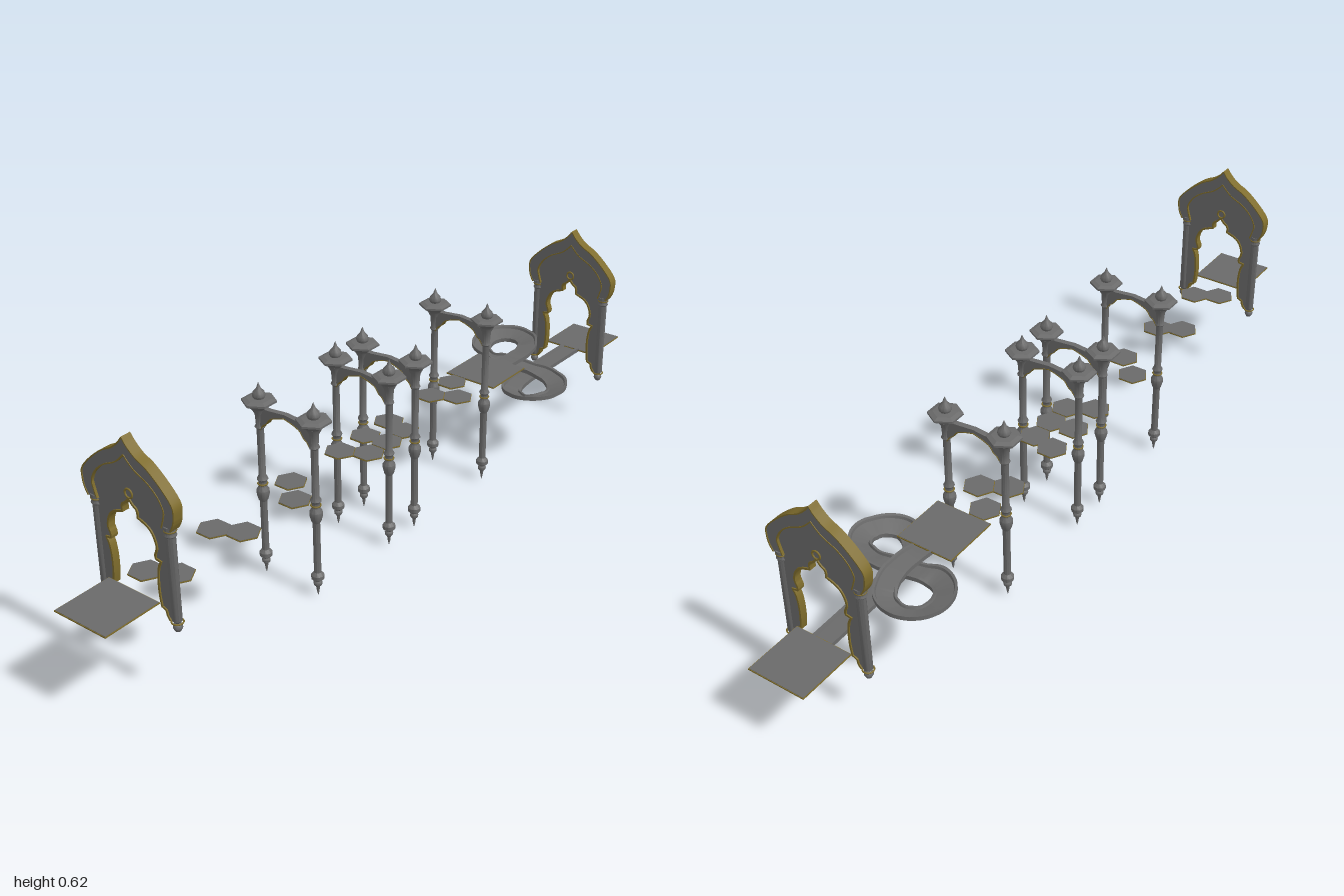
import * as THREE from 'three';
import { toCreasedNormals } from 'three/addons/utils/BufferGeometryUtils.js';

const grey = new THREE.MeshStandardMaterial({ color: 0x6a6a6a, side: THREE.DoubleSide });
const greyFlat = new THREE.MeshStandardMaterial({ color: 0x6a6a6a, flatShading: true, side: THREE.DoubleSide });
const gold = new THREE.MeshStandardMaterial({ color: 0x7e6c2c, side: THREE.DoubleSide });

const V = (a) => a.map(([x, y]) => new THREE.Vector2(x, y));
const spline = (a, n = 16) => new THREE.SplineCurve(V(a)).getPoints(n);
const flip = (pts) => pts.map((p) => new THREE.Vector2(-p.x, p.y)).reverse();

function add(parent, name, geometry, material, x = 0, y = 0, z = 0) {
  const mesh = new THREE.Mesh(geometry, material);
  mesh.name = name;
  mesh.position.set(x, y, z);
  parent.add(mesh);
  return mesh;
}

// Outline drawn in (z, y), given a thickness along x
function slab(points, depth) {
  const g = new THREE.ExtrudeGeometry(new THREE.Shape(points), { depth, bevelEnabled: false });
  g.translate(0, 0, -depth / 2).rotateY(-Math.PI / 2);
  return toCreasedNormals(g, 0.6);
}

// Flat moulding that follows an open line
function moulding(line, width, depth) {
  const side = (s) => line.map((p, i) => {
    const a = line[Math.max(i - 1, 0)], b = line[Math.min(i + 1, line.length - 1)];
    const t = b.clone().sub(a).normalize();
    return new THREE.Vector2(p.x - t.y * s, p.y + t.x * s);
  });
  return slab([...side(width / 2), ...side(-width / 2).reverse()], depth);
}

const lathe = (profile, sides = 14) => toCreasedNormals(new THREE.LatheGeometry(V(profile), sides), 0.7);

// Gold ring lying flat around a column or post
function collar(parent, name, radius, y, z) {
  add(parent, name, new THREE.TorusGeometry(radius, 0.002, 6, 20), gold, 0, y, z).rotation.x = Math.PI / 2;
}

// Pointed gateway with a lobed doorway
function gate(x, y, z) {
  const g = new THREE.Group();
  g.name = 'gate';
  g.position.set(x, y, z);
  const outer = spline([[0, 0.56], [0.012, 0.544], [0.034, 0.525], [0.066, 0.508], [0.105, 0.475],
    [0.13, 0.445], [0.132, 0.42], [0.128, 0.4], [0.119, 0.383]], 28);
  const inner = spline([[0, 0.52], [0.012, 0.507], [0.03, 0.492], [0.064, 0.475], [0.09, 0.452],
    [0.104, 0.425], [0.101, 0.405], [0.094, 0.383]], 28);
  const foot = spline([[0.107, 0.15], [0.095, 0.153], [0.087, 0.165], [0.085, 0.175], [0.073, 0.18]], 8);
  const door = [
    ...spline([[0.073, 0.18], [0.069, 0.21], [0.069, 0.25], [0.074, 0.28], [0.082, 0.293]], 10),
    ...spline([[0.066, 0.296], [0.066, 0.307], [0.072, 0.325], [0.065, 0.35], [0.05, 0.367], [0.022, 0.378]], 14),
    ...spline([[0.023, 0.388], [0.02, 0.397], [0.01, 0.404], [0, 0.416]], 8),
  ];
  const half = [...outer, ...V([[0.107, 0.383]]), ...foot, ...door];
  const whole = (pts) => [...flip(pts).slice(0, -1), ...pts];
  add(g, 'gatePanel', slab([...half, ...flip(half).slice(1, -1)], 0.012), grey);
  add(g, 'archBand', slab([...whole(outer), ...whole(inner).reverse()], 0.022), grey);
  add(g, 'outerTrim', moulding(whole(outer), 0.003, 0.026), gold);
  add(g, 'innerTrim', moulding(whole(inner), 0.003, 0.025), gold);
  const opening = [...foot.slice(2, -1), ...door];
  add(g, 'doorTrim', moulding([...opening.slice(0, -1), ...flip(opening)], 0.005, 0.018), gold);

  // Ring above the doorway, proud of the panel on both faces
  for (const s of [-1, 1]) {
    add(g, 'doorRing', new THREE.TorusGeometry(0.0105, 0.0025, 8, 24), gold, s * 0.0065, 0.427, 0).rotation.y = Math.PI / 2;
  }

  // Side columns with bulb feet and capitals
  const column = lathe([[0, 0.127], [0.007, 0.13], [0.011, 0.138], [0.01, 0.145], [0.006, 0.15], [0.011, 0.156],
    [0.011, 0.362], [0.014, 0.366], [0.012, 0.371], [0.014, 0.381], [0.014, 0.388], [0, 0.388]]);
  for (const s of [-1, 1]) {
    add(g, 'gateColumn', column, grey, 0, 0, s * 0.107);
    collar(g, 'columnCollar', 0.013, 0.152, s * 0.107);
    collar(g, 'columnCollar', 0.0125, 0.377, s * 0.107);
  }
  return g;
}

// Thin square landing with a gold edge
function platform(x, y, z) {
  const g = new THREE.Group();
  g.name = 'platform';
  g.position.set(x, y, z);
  add(g, 'platformSlab', new THREE.BoxGeometry(0.15, 0.005, 0.15), grey);
  add(g, 'platformEdge', new THREE.BoxGeometry(0.153, 0.003, 0.153), gold);
  return g;
}

// Six-sided stepping tile
function tile(x, z) {
  const g = new THREE.Group();
  g.name = 'steppingTile';
  g.position.set(x, 0.253, z);
  add(g, 'tileSlab', new THREE.CylinderGeometry(0.04, 0.04, 0.005, 6), greyFlat);
  add(g, 'tileEdge', new THREE.CylinderGeometry(0.041, 0.041, 0.003, 6), gold);
  return g;
}

// Two turned posts joined by an arch
const postProfile = [[0, 0], [0.003, 0.012], [0.005, 0.027], [0.01, 0.032], [0.011, 0.038], [0.008, 0.043],
  [0.016, 0.05], [0.016, 0.06], [0.009, 0.068], [0.009, 0.205], [0.012, 0.21], [0.016, 0.225], [0.016, 0.235],
  [0.01, 0.245], [0.01, 0.258], [0.014, 0.265], [0.009, 0.275], [0.009, 0.4], [0.013, 0.405], [0.01, 0.412],
  [0.012, 0.44], [0.02, 0.455]];
const capProfile = [[0, 0.45], [0.018, 0.453], [0.03, 0.463], [0.042, 0.47], [0.042, 0.475], [0.03, 0.479], [0, 0.481]];
const finialProfile = [[0.012, 0.478], [0.016, 0.486], [0.014, 0.495], [0.006, 0.504], [0.003, 0.512], [0, 0.52]];

function postPair(x) {
  const g = new THREE.Group();
  g.name = 'postPair';
  g.position.set(x, 0, -0.025);
  const post = lathe(postProfile, 12);
  const finial = lathe(finialProfile, 12);
  const cap = new THREE.LatheGeometry(V(capProfile), 6);
  cap.rotateY(Math.PI / 2);
  for (const s of [-1, 1]) {
    add(g, 'post', post, grey, 0, 0, s * 0.082);
    add(g, 'postCap', cap, greyFlat, 0, 0, s * 0.082);
    add(g, 'postFinial', finial, grey, 0, 0, s * 0.082);
    collar(g, 'postCollar', 0.0115, 0.252, s * 0.082);
  }
  const under = spline([[0.076, 0.4], [0.066, 0.415], [0.056, 0.422], [0.045, 0.437], [0.022, 0.447], [0, 0.453]], 16);
  const top = V([[-0.08, 0.4], [-0.08, 0.458], [-0.05, 0.458], [0, 0.463], [0.05, 0.458], [0.08, 0.458], [0.08, 0.4]]);
  const lower = [...under, ...flip(under).slice(1)];
  add(g, 'arch', slab([...top, ...lower], 0.014), grey);
  add(g, 'archTrim', moulding(lower, 0.002, 0.016), gold);
  return g;
}

// Banked channel swept along an S-shaped double loop
function ramp() {
  const path = new THREE.CatmullRomCurve3([
    [0.535, 0.248, -0.02], [0.6, 0.249, -0.012], [0.66, 0.249, -0.018], [0.715, 0.248, -0.05], [0.73, 0.247, -0.1],
    [0.705, 0.245, -0.142], [0.66, 0.242, -0.154], [0.615, 0.239, -0.137], [0.592, 0.236, -0.1], [0.597, 0.232, -0.04],
    [0.605, 0.227, 0.02], [0.605, 0.223, 0.085], [0.58, 0.219, 0.135], [0.54, 0.215, 0.152], [0.493, 0.211, 0.13],
    [0.474, 0.207, 0.088], [0.5, 0.202, 0.042], [0.555, 0.198, 0.022], [0.65, 0.195, 0.018], [0.75, 0.194, 0.018],
    [0.85, 0.193, 0.018]].map((p) => new THREE.Vector3(...p)));
  const section = [[-0.027, -0.005], [-0.027, 0.006], [-0.021, 0.006], [-0.019, 0], [0.019, 0], [0.021, 0.006],
    [0.027, 0.006], [0.027, -0.005]];
  const n = 200, m = section.length, pos = [], idx = [];
  for (let i = 0; i <= n; i++) {
    const u = i / n, p = path.getPointAt(u);
    const u0 = Math.max(u - 0.015, 0), u1 = Math.min(u + 0.015, 1);
    const t = path.getTangentAt(u).setY(0).normalize();
    const a = path.getTangentAt(u0), b = path.getTangentAt(u1);
    const turn = (a.x * b.z - a.z * b.x) / ((u1 - u0) * path.getLength());
    const bank = THREE.MathUtils.clamp(-turn * 0.024, -0.35, 0.35);
    for (const [l, h] of section) pos.push(p.x - t.z * l, p.y + h + l * bank, p.z + t.x * l);
    if (i < n) for (let j = 0; j < m; j++) {
      const k = (j + 1) % m, q = i * m;
      idx.push(q + j, q + k, q + m + j, q + k, q + m + k, q + m + j);
    }
  }
  const g = new THREE.BufferGeometry();
  g.setAttribute('position', new THREE.Float32BufferAttribute(pos, 3));
  g.setIndex(idx);
  return toCreasedNormals(g, 0.5);
}

export function createModel() {
  const model = new THREE.Group();
  model.name = 'obstacleCourse';
  model.add(gate(0.83, 0, 0.018), gate(-0.83, 0.058, -0.025));
  model.add(platform(0.923, 0.193, 0.016), platform(-0.923, 0.253, -0.025), platform(0.47, 0.253, -0.025));
  for (const x of [-0.35, -0.072, 0.034, 0.342]) model.add(postPair(x));
  const tiles = [[-0.78, -0.058], [-0.748, 0.004], [-0.57, -0.058], [-0.538, 0.004], [-0.362, 0.004], [-0.305, -0.058],
    [-0.12, -0.058], [-0.085, 0.004], [-0.02, -0.058], [-0.012, 0.004], [0.077, -0.058], [0.06, 0.004],
    [0.26, -0.058], [0.295, 0.004], [0.357, -0.058]];
  for (const [x, z] of tiles) model.add(tile(x, z));
  add(model, 'loopRamp', ramp(), grey);
  return model;
}
